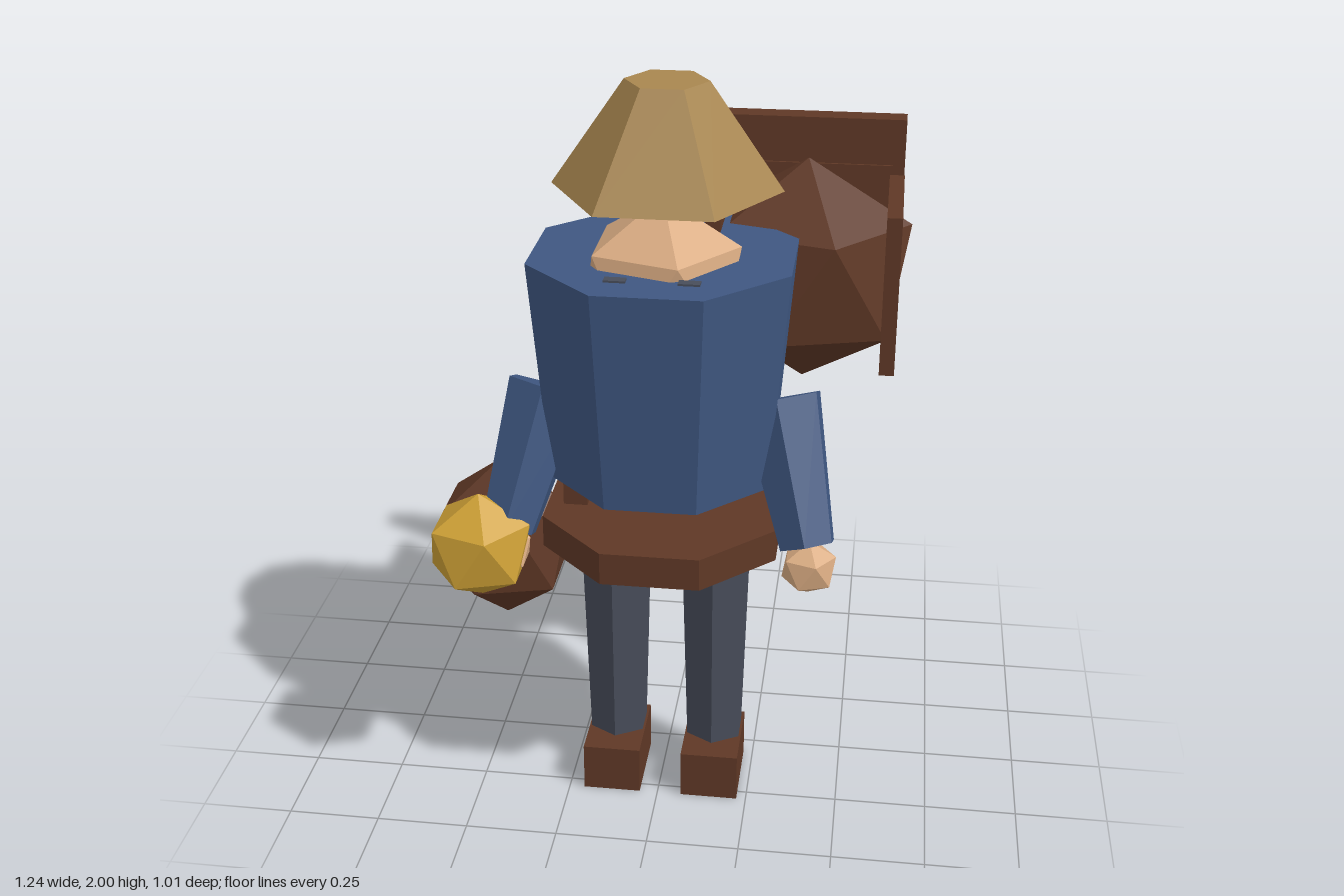
import * as THREE from 'three';
import { ConvexGeometry } from 'three/addons/geometries/ConvexGeometry.js';

const mat = (name, color) => new THREE.MeshStandardMaterial({ name, color, flatShading: true });

// Twenty-sided ball with a point at the top, scaled along each axis
function ballGeometry(rx, ry, rz) {
  const pts = [new THREE.Vector3(0, 1, 0), new THREE.Vector3(0, -1, 0)];
  const h = 1 / Math.sqrt(5), r = 2 * h;
  for (let k = 0; k < 10; k++) {
    const a = k * Math.PI / 5;
    pts.push(new THREE.Vector3(r * Math.cos(a), k % 2 ? -h : h, r * Math.sin(a)));
  }
  return new ConvexGeometry(pts.map(p => p.multiply(new THREE.Vector3(rx, ry, rz))));
}

export function createModel() {
  const model = new THREE.Group();
  model.name = 'traveller';
  const straw = mat('straw', 0xa8864f);
  const skin = mat('skin', 0xd9ab82);
  const blue = mat('blueCloth', 0x3f5781);
  const grey = mat('greyCloth', 0x484d5a);
  const brown = mat('brownLeather', 0x5f3826);
  const gold = mat('gold', 0xcc9f35);

  const add = (name, geometry, material, x, y, z) => {
    const mesh = new THREE.Mesh(geometry, material);
    mesh.name = name;
    mesh.position.set(x, y, z);
    model.add(mesh);
    return mesh;
  };
  // Box given by its limits on each axis
  const box = (name, material, [x0, x1], [y0, y1], [z0, z1]) =>
    add(name, new THREE.BoxGeometry(x1 - x0, y1 - y0, z1 - z0), material,
      (x0 + x1) / 2, (y0 + y1) / 2, (z0 + z1) / 2);
  // Upright faceted drum between two heights
  const drum = (name, material, rTop, rBottom, y0, y1, x, z, sides, turn = 0) =>
    add(name, new THREE.CylinderGeometry(rTop, rBottom, y1 - y0, sides, 1, false, turn),
      material, x, (y0 + y1) / 2, z);
  const ball = (name, material, r, x, y, z) => add(name, ballGeometry(...r), material, x, y, z);

  // Hat, head, body and belt
  const cx = 0.008;
  drum('hat', straw, 0.106, 0.293, 1.73, 2, cx, 0.12, 6, Math.PI / 6);
  ball('head', skin, [0.22, 0.22, 0.22], cx, 1.513, 0.203);
  drum('torso', blue, 0.355, 0.304, 0.99, 1.58, cx, 0.173, 8, Math.PI / 8);
  drum('belt', brown, 0.333, 0.333, 0.785, 0.873, cx, 0.167, 8, Math.PI / 8);

  for (const s of [-1, 1]) {
    const side = s > 0 ? 'left' : 'right';
    // Eyes
    box(side + 'Eye', grey, [cx + s * 0.09 - 0.027, cx + s * 0.09 + 0.027], [1.565, 1.585], [0.383, 0.41]);
    // Legs and boots
    const lx = cx + s * 0.137;
    drum(side + 'Leg', grey, 0.101, 0.084, 0.13, 0.715, lx, 0.135, 6);
    box(side + 'Boot', brown, [lx - 0.079, lx + 0.079], [0, 0.137], [0.055, 0.283]);
    // Sleeves, sloping down and forward to the hands
    const top = new THREE.Vector3(cx + s * 0.302, 1.2, 0.185);
    const end = new THREE.Vector3(cx + s * 0.39, 0.855, 0.33);
    const axis = top.clone().sub(end);
    const mid = top.clone().add(end).multiplyScalar(0.5);
    const sleeve = add(side + 'Sleeve', new THREE.CylinderGeometry(0.113, 0.077, axis.length(), 6),
      blue, mid.x, mid.y, mid.z);
    sleeve.quaternion.setFromUnitVectors(new THREE.Vector3(0, 1, 0), axis.normalize());
    ball(side + 'Hand', skin, [0.077, 0.074, 0.08], cx + s * 0.397, 0.81, 0.36);
  }

  // Gold nugget in the right hand
  ball('nugget', gold, [0.148, 0.148, 0.148], -0.45, 0.822, 0.375);

  // Hip bag and its strap
  ball('hipBag', brown, [0.205, 0.24, 0.17], -0.44, 0.72, 0.143);
  box('bagStrap', brown, [-0.257, -0.193], [0.715, 1], [0.175, 0.22]);

  // Backpack with side boards and back boards
  ball('backpack', brown, [0.311, 0.31, 0.268], 0.343, 1.418, -0.182);
  for (const x of [0.092, 0.555])
    box('packSideBoard', brown, [x, x + 0.04], [1.203, 1.637], [-0.35, -0.01 + 0.025]);
  box('packUpperBoard', brown, [0.092, 0.594], [1.455, 1.765], [-0.505, -0.439]);
  box('packLowerBoard', brown, [0.122, 0.562], [1.203, 1.637], [-0.472, -0.432]);

  return model;
}
